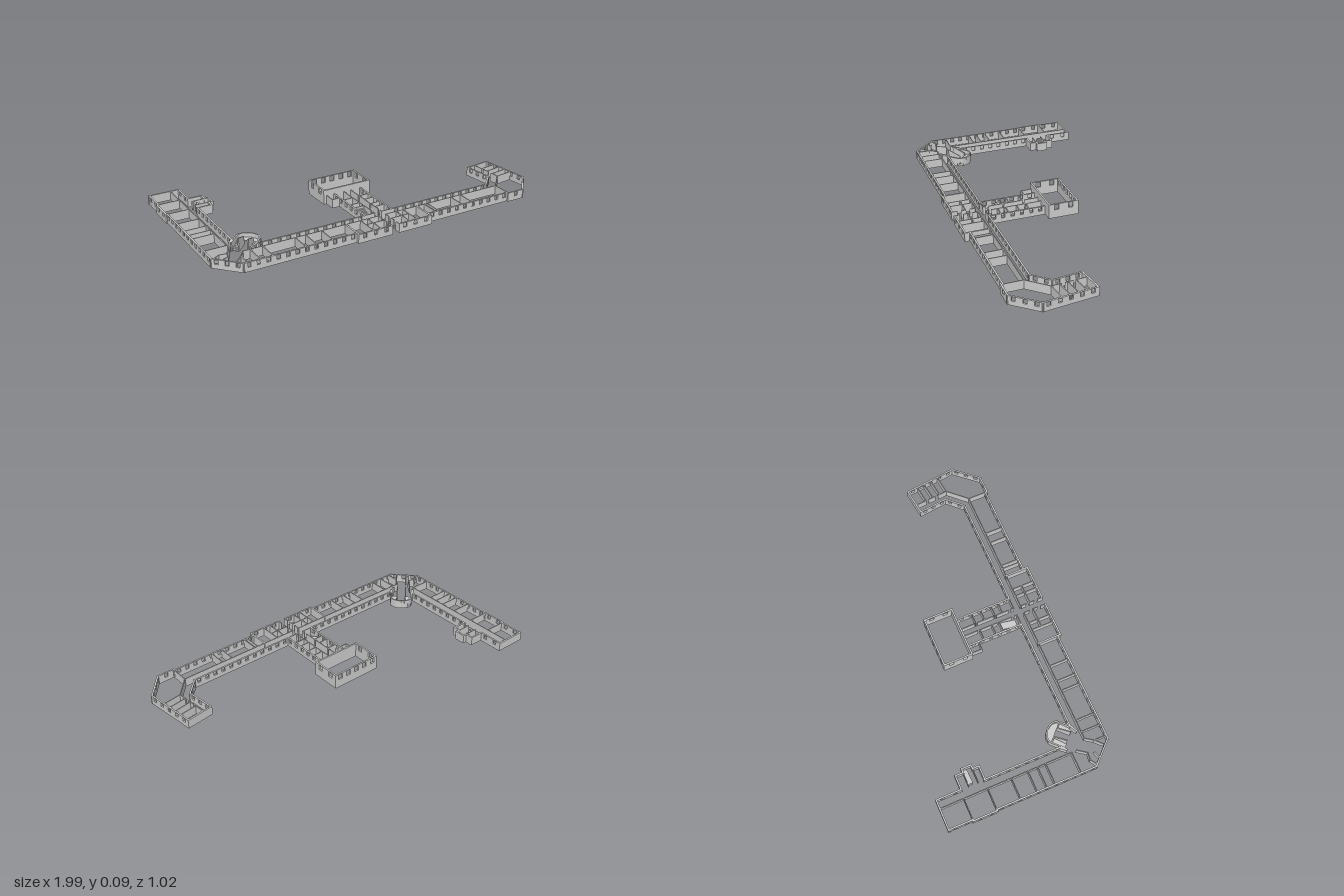
import * as THREE from 'three';

const H = 0.052, HALL_H = 0.085, OUT = 0.01, IN = 0.005;
const material = new THREE.MeshStandardMaterial({ color: 0xcccccc, flatShading: true, side: THREE.DoubleSide });

function add(parent, name, geometry) {
  const mesh = new THREE.Mesh(geometry, material);
  mesh.name = name;
  parent.add(mesh);
}

// Upright wall between two plan points, with an optional row of window holes.
function wall(parent, name, [x1, z1], [x2, z2], o = {}) {
  const { t = OUT, h = H, pitch = 0, w = 0.021, sill = 0.025, top = h - 0.003, h2 = h } = o;
  const len = Math.hypot(x2 - x1, z2 - z1), e = h === h2 ? t / 2 : 0;
  const shape = new THREE.Shape([[-e, 0], [len + e, 0], [len + e, h2], [-e, h]].map(p => new THREE.Vector2(...p)));
  const n = pitch ? Math.floor((len - 0.01) / pitch) : 0;
  for (let i = 0; i < n; i++) {
    const u = len * (i + 0.5) / n;
    shape.holes.push(new THREE.Path([[u - w / 2, sill], [u - w / 2, top], [u + w / 2, top], [u + w / 2, sill]]
      .map(p => new THREE.Vector2(...p))));
  }
  const g = new THREE.ExtrudeGeometry(shape, { depth: t, bevelEnabled: false });
  g.translate(0, 0, -t / 2).rotateY(-Math.atan2(z2 - z1, x2 - x1)).translate(x1, 0, z1);
  add(parent, name, g);
}

// Chain of walls through several plan points.
function chain(parent, name, pts, o) {
  for (let i = 0; i + 1 < pts.length; i++) wall(parent, name, pts[i], pts[i + 1], o);
}

// Solid steps rising along local +z from the group's origin.
function stairs(parent, name, w, run, rise, n, x, z, angle) {
  const g = new THREE.Group();
  g.name = name;
  for (let i = 0; i < n; i++) {
    const hh = rise * (i + 1) / n;
    add(g, 'step', new THREE.BoxGeometry(w, hh, run / n).translate(0, hh / 2, run * (i + 0.5) / n));
  }
  g.position.set(x, 0, z);
  g.rotation.y = angle;
  parent.add(g);
}

export function createModel() {
  const model = new THREE.Group();
  model.name = 'schoolWalls';
  const section = name => {
    const g = new THREE.Group();
    g.name = name;
    model.add(g);
    return g;
  };
  const win = { pitch: 0.05 }, thin = { t: IN };

  // Long side wing on -x: corridor along its inner side
  const west = section('westWing');
  wall(west, 'endWall', [-0.99, -0.505], [-0.815, -0.505]);
  wall(west, 'outerWall', [-0.987, -0.505], [-0.987, -0.366], win);
  wall(west, 'outerWall', [-0.994, -0.366], [-0.994, -0.227], win);
  wall(west, 'outerWall', [-0.987, -0.227], [-0.987, 0.36], win);
  wall(west, 'corridorOuterWall', [-0.815, -0.505], [-0.815, -0.36], win);
  wall(west, 'corridorOuterWall', [-0.815, -0.225], [-0.815, 0.22], win);
  wall(west, 'corridorInnerWall', [-0.864, -0.505], [-0.864, 0.27], thin);
  for (const z of [-0.366, -0.227, -0.088, 0.01, 0.067, 0.115, 0.27])
    wall(west, 'roomDivider', [-0.987, z], [-0.864, z], thin);

  // Projecting stair annex on the side wing
  const annex = section('westAnnex');
  chain(annex, 'annexWall', [[-0.815, -0.36], [-0.735, -0.36], [-0.735, -0.315], [-0.713, -0.315],
    [-0.713, -0.26], [-0.735, -0.26], [-0.735, -0.222], [-0.815, -0.222]]);
  for (const z of [-0.315, -0.26]) wall(annex, 'stairWall', [-0.81, z], [-0.735, z], thin);
  stairs(annex, 'annexStairs', 0.026, 0.09, 0.045, 7, -0.715, -0.3, -Math.PI / 2);

  // Chamfered corner joining the side wing and the front wing
  const corner = section('westCorner');
  wall(corner, 'cornerWall', [-0.987, 0.36], [-0.87, 0.485], win);
  chain(corner, 'cornerPartition', [[-0.98, 0.37], [-0.94, 0.345], [-0.9, 0.35], [-0.864, 0.3]], thin);
  wall(corner, 'cornerPartition', [-0.95, 0.4], [-0.91, 0.385], thin);
  wall(corner, 'cornerPartition', [-0.89, 0.45], [-0.85, 0.41], thin);
  chain(corner, 'cornerPartition', [[-0.85, 0.485], [-0.85, 0.41], [-0.82, 0.367], [-0.78, 0.367]], thin);
  wall(corner, 'cornerLink', [-0.815, 0.22], [-0.84, 0.25]);
  wall(corner, 'cornerLink', [-0.73, 0.325], [-0.765, 0.345]);

  // Round-ended stair tower set diagonally, local +z pointing away from the corner
  const tower = new THREE.Group();
  tower.name = 'stairTower';
  const arc = Array.from({ length: 9 }, (_, i) => {
    const a = Math.PI * i / 8;
    return [0.063 * Math.cos(a), 0.06 + 0.045 * Math.sin(a)];
  });
  chain(tower, 'towerWall', [[0.063, -0.02], ...arc, [-0.063, -0.02]], { t: 0.008 });
  const deck = new THREE.Shape(arc.map(([x, z]) => new THREE.Vector2(x, z)));
  add(tower, 'landing', new THREE.ExtrudeGeometry(deck, { depth: 0.004, bevelEnabled: false })
    .rotateX(Math.PI / 2).translate(0, 0.028, 0));
  for (const x of [-0.026, 0.026])
    wall(tower, 'slopedStairWall', [x, -0.018], [x, 0.06], { t: 0.006, h: 0.078, h2: 0.05 });
  for (let i = 0; i < 6; i++)
    for (const s of [-1, 1])
      add(tower, 'towerStep', new THREE.BoxGeometry(0.032, 0.005, 0.013)
        .translate(s * 0.044, 0.004 + 0.004 * i, -0.014 + 0.0125 * i));
  tower.position.set(-0.77, 0, 0.278);
  tower.rotation.y = Math.PI * 0.75;
  model.add(tower);

  // Long front wing with a corridor behind the rooms
  const front = section('frontWing');
  wall(front, 'frontWall', [-0.87, 0.485], [-0.225, 0.485], win);
  wall(front, 'frontWall', [0.225, 0.475], [0.77, 0.475], win);
  wall(front, 'backWall', [-0.73, 0.325], [-0.085, 0.325], win);
  wall(front, 'backWall', [0.09, 0.325], [0.735, 0.325], win);
  wall(front, 'corridorInnerWall', [-0.78, 0.367], [-0.025, 0.367], thin);
  wall(front, 'corridorInnerWall', [0.025, 0.367], [0.77, 0.367], thin);
  for (const x of [-0.78, -0.71, -0.525, -0.465, -0.37])
    wall(front, 'roomDivider', [x, 0.367], [x, 0.485], thin);
  for (const x of [0.275, 0.295, 0.455, 0.52, 0.77])
    wall(front, 'roomDivider', [x, 0.367], [x, 0.475], thin);

  // Entrance block in the middle of the front
  const entrance = section('entranceBlock');
  for (const s of [-1, 1]) {
    wall(entrance, 'frontWall', [s * 0.225, 0.502], [s * 0.025, 0.502], win);
    wall(entrance, 'sideWall', [s * 0.225, 0.367], [s * 0.225, 0.502]);
    wall(entrance, 'roomDivider', [s * 0.135, 0.367], [s * 0.135, 0.502], thin);
    wall(entrance, 'roomDivider', [s * 0.135, 0.425], [s * 0.025, 0.425], thin);
    wall(entrance, 'roomDivider', [s * 0.09, 0.367], [s * 0.09, 0.502], thin);
    for (const [a, b] of [[0.375, 0.4], [0.425, 0.45], [0.475, 0.502]])
      wall(entrance, 'lobbyWall', [s * 0.022, a], [s * 0.022, b], thin);
  }

  // Link wing between entrance and hall
  const link = section('linkWing');
  wall(link, 'outerWall', [-0.082, 0], [-0.082, 0.325], win);
  wall(link, 'outerWall', [0.088, 0], [0.088, 0.325], win);
  for (const [x, outer, zs] of [[-0.02, -0.082, [0.095, 0.17, 0.215, 0.325]], [0.025, 0.088, [0.09, 0.145, 0.21, 0.255, 0.325]]]) {
    for (const [a, b] of [[0, 0.08], [0.1, 0.2], [0.22, 0.29], [0.31, 0.325]])
      wall(link, 'corridorWall', [x, a], [x, b], thin);
    for (const z of zs) wall(link, 'roomDivider', [outer, z], [x, z], thin);
  }
  chain(link, 'sideRoomWall', [[-0.13, 0], [-0.13, 0.06], [-0.082, 0.06]], thin);
  stairs(link, 'linkStairs', 0.042, 0.09, 0.04, 8, -0.047, 0.31, Math.PI);

  // Tall hall with high windows on the sides and back
  const hall = section('hall');
  const high = { h: HALL_H, pitch: 0.053, w: 0.027, sill: 0.05, top: 0.081 };
  wall(hall, 'frontWall', [-0.145, -0.008], [0.145, -0.008], { h: HALL_H });
  wall(hall, 'backWall', [-0.145, -0.175], [0.145, -0.175], high);
  for (const x of [-0.145, 0.145]) wall(hall, 'sideWall', [x, -0.008], [x, -0.175], high);

  // Short angled wing on +x
  const east = section('eastWing');
  wall(east, 'frontWall', [0.77, 0.485], [0.87, 0.485], win);
  chain(east, 'outerWall', [[0.87, 0.485], [0.988, 0.35], [0.953, 0.05]], win);
  wall(east, 'endWall', [0.953, 0.05], [0.8, 0.07]);
  wall(east, 'courtWall', [0.8, 0.07], [0.82, 0.237], win);
  wall(east, 'courtWall', [0.82, 0.237], [0.735, 0.325], win);
  chain(east, 'corridorInnerWall', [[0.77, 0.367], [0.868, 0.262], [0.978, 0.247]], thin);
  for (const [a, b] of [[0, 0.3], [0.42, 0.62], [0.74, 1]])
    wall(east, 'corridorInnerWall', [0.852 + 0.016 * a, 0.063 + 0.197 * a], [0.852 + 0.016 * b, 0.063 + 0.197 * b], thin);
  for (const z of [0.115, 0.16, 0.205])
    wall(east, 'roomDivider', [0.852 + (z - 0.06) * 0.1, z + 0.012], [0.955 + (z - 0.05) * 0.115, z - 0.003], thin);

  return model;
}
